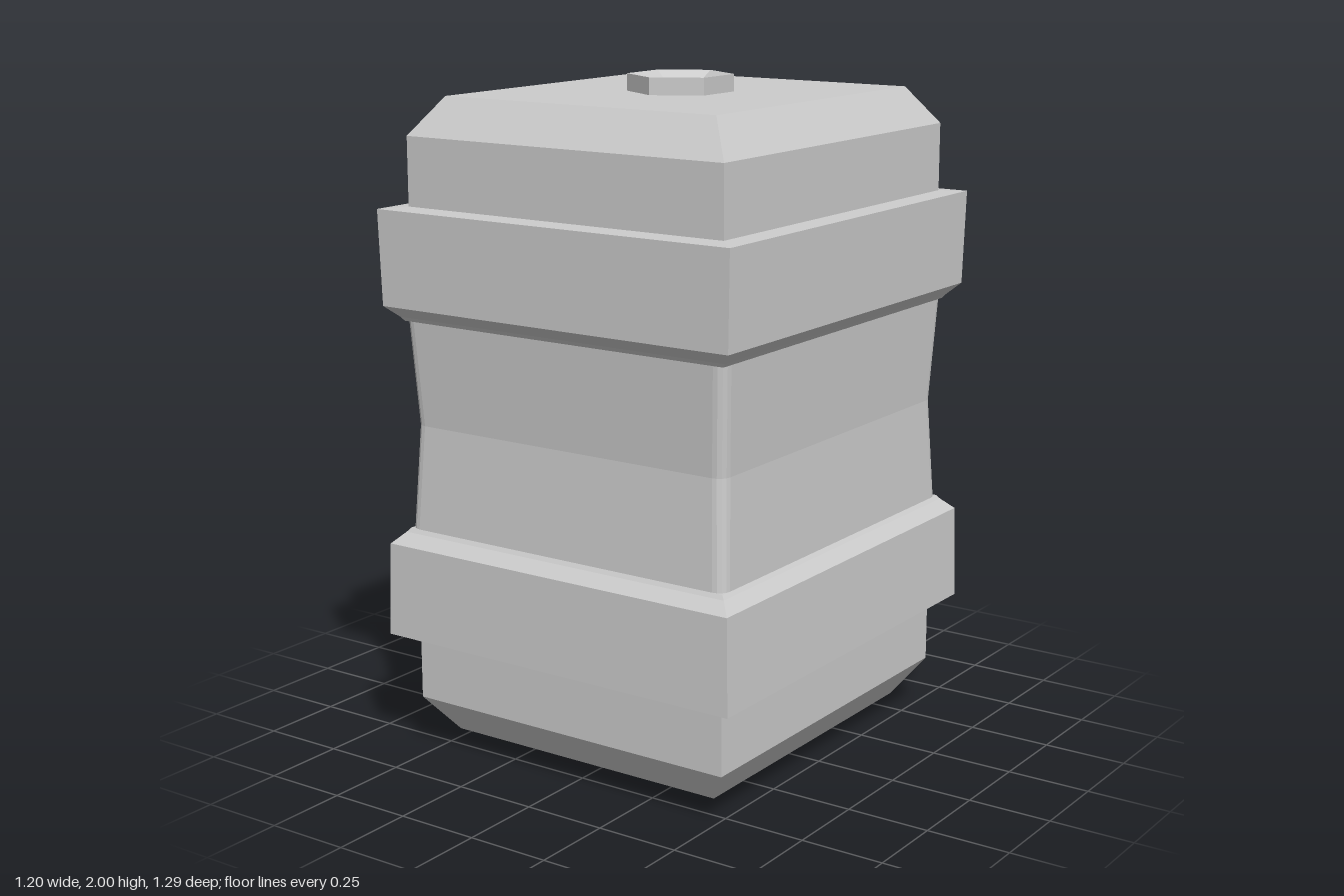
import * as THREE from 'three';

const material = new THREE.MeshStandardMaterial({ color: 0xcccccc, flatShading: true, side: THREE.DoubleSide });

// Outline of a rectangle, optionally with rounded corners, counter-clockwise from above
function outline(hx, hz, radius) {
  if (!radius) return [[hx, hz], [hx, -hz], [-hx, -hz], [-hx, hz]];
  const points = [];
  const steps = 4;
  [[1, 1], [1, -1], [-1, -1], [-1, 1]].forEach(([sx, sz], corner) => {
    for (let i = 0; i <= steps; i++) {
      const a = -Math.PI / 2 + (corner + i / steps) * Math.PI / 2;
      points.push([sx * (hx - radius) + radius * Math.cos(a), sz * (hz - radius) - radius * Math.sin(a)]);
    }
  });
  return points;
}

// Skin over stacked rectangles, each row [y, half width, half depth], rising in y
function loft(name, rows, { radius = 0, closeTop = false } = {}) {
  const positions = [];
  const index = [];
  const n = outline(1, 1, radius).length;
  for (const [y, hx, hz] of rows) {
    for (const [x, z] of outline(hx, hz, radius)) positions.push(x, y, z);
  }
  for (let r = 0; r < rows.length - 1; r++) {
    for (let i = 0; i < n; i++) {
      const a = r * n + i;
      const b = r * n + (i + 1) % n;
      index.push(a, b, b + n, a, b + n, a + n);
    }
  }
  if (closeTop) {
    const s = (rows.length - 1) * n;
    for (let i = 1; i < n - 1; i++) index.push(s, s + i, s + i + 1);
  }
  const geometry = new THREE.BufferGeometry();
  geometry.setAttribute('position', new THREE.Float32BufferAttribute(positions, 3));
  geometry.setIndex(index);
  geometry.computeVertexNormals();
  const mesh = new THREE.Mesh(geometry, material);
  mesh.name = name;
  return mesh;
}

// Upper half: waist, band, bevelled cap and hollow hexagonal nut
function createHalf(name) {
  const half = new THREE.Group();
  half.name = name;

  half.add(loft('waist', [[1, 0.537, 0.577], [1.31, 0.552, 0.597]], { radius: 0.035 }));

  half.add(loft('band', [
    [1.31, 0.5, 0.545],
    [1.31, 0.55, 0.597],
    [1.322, 0.56, 0.605],
    [1.355, 0.593, 0.64],
    [1.635, 0.6, 0.645],
    [1.64, 0.53, 0.57],
  ]));

  half.add(loft('cap', [
    [1.6, 0.538, 0.58],
    [1.84, 0.538, 0.58],
    [1.95, 0.46, 0.5],
  ], { closeTop: true }));

  // Six-sided nut with a funnel down to the cap
  const profile = [[0.155, 1.94], [0.155, 2], [0.07, 1.952], [0, 1.952]];
  const nut = new THREE.Mesh(
    new THREE.LatheGeometry(profile.map(([r, y]) => new THREE.Vector2(r, y)), 6),
    material,
  );
  nut.name = 'hexNut';
  half.add(nut);
  return half;
}

export function createModel() {
  const model = new THREE.Group();
  model.name = 'bandedBlock';
  model.add(createHalf('upperHalf'));

  // Same half turned over about y = 1
  const lower = createHalf('lowerHalf');
  lower.rotation.x = Math.PI;
  lower.position.y = 2;
  model.add(lower);
  return model;
}
